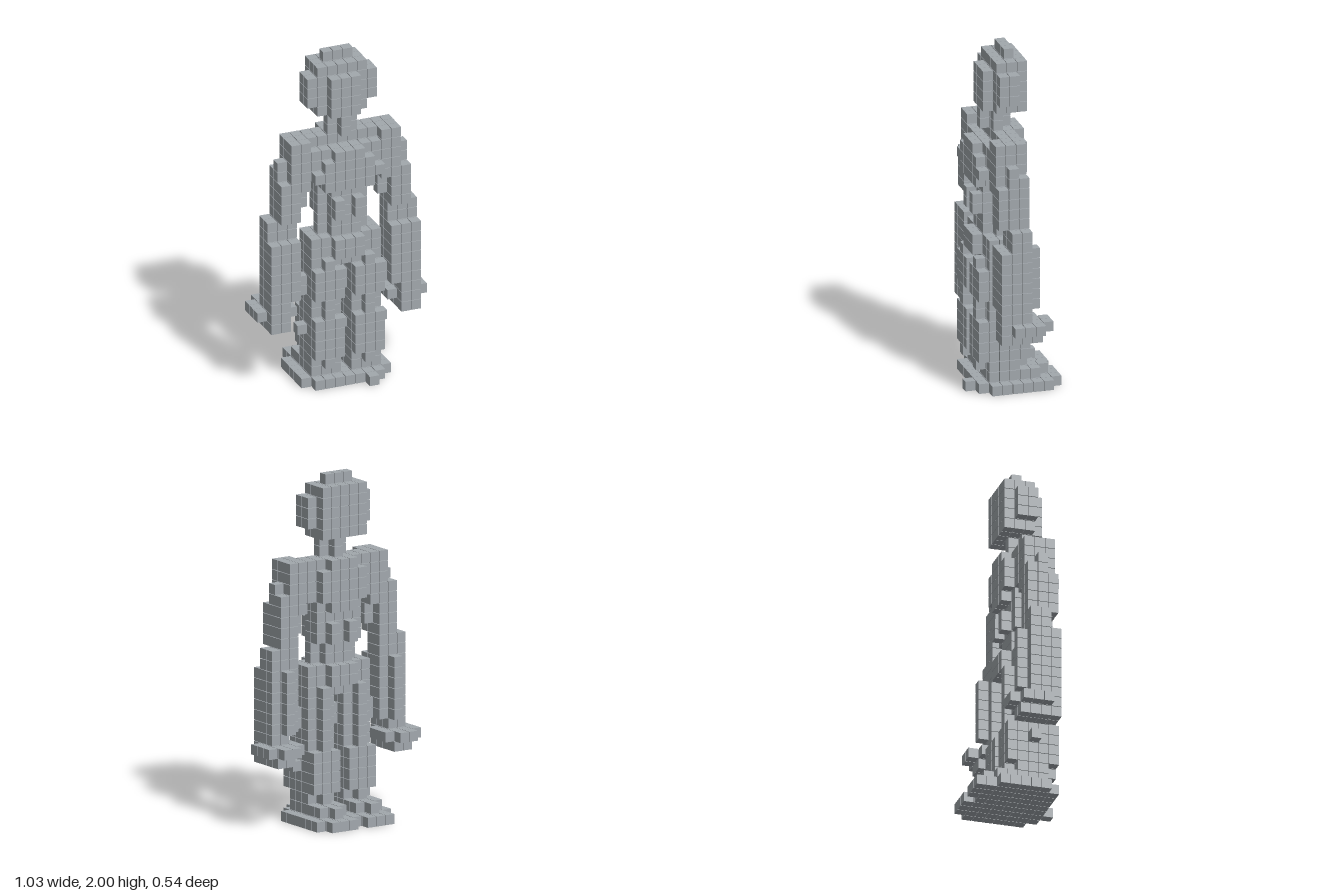
import * as THREE from 'three';
import { mergeGeometries } from 'three/addons/utils/BufferGeometryUtils.js';

const PITCH = 0.0607; // spacing of the cubes
const SIZE = 0.0575;  // edge of one cube, leaving a thin gap

// Each block is [x0, x1, y0, y1, z0, z1] in whole cells, ends included.
// Central parts span the middle; paired parts are given for +x and mirrored.
const CENTRAL = {
  head: [
    [-1, 1, 32, 32, 0, 0],
    [-2, 2, 31, 31, -1, 1],
    [-2, 2, 28, 30, -1, 1],
    [-3, 3, 28, 30, 0, 1],
    [-2, 2, 27, 27, -1, 1],
    [-1, 1, 27, 30, 2, 2],
  ],
  neck: [
    [-1, 1, 25, 26, 1, 1],
    [0, 0, 25, 26, 0, 2],
  ],
  torso: [
    [-3, 3, 24, 24, 0, 1],
    [-1, 1, 24, 24, -1, -1],
    [-3, 3, 21, 23, 0, 2],
    [-2, 2, 21, 23, -1, -1],
    [-2, 2, 20, 20, 0, 2],
    [-1, 1, 20, 20, -1, -1],
    [-1, 1, 15, 19, 0, 2],
    [-2, 2, 17, 19, 0, 1],
    [-2, 2, 15, 16, 1, 1],
  ],
  chest: [
    [-1, 1, 23, 23, 3, 3],
    [-2, 2, 20, 22, 3, 3],
    [-3, 3, 21, 21, 3, 3],
  ],
  pelvis: [
    [-3, 3, 12, 14, 0, 2],
    [-1, 1, 13, 14, -1, -1],
    [-1, 1, 13, 14, 3, 3],
    [0, 0, 9, 10, 1, 1],
    [0, 0, 5, 5, 1, 1],
  ],
  base: [
    [-4, 4, 0, 0, -2, 2],
    [-3, 3, 0, 0, -3, 3],
    [4, 4, 0, 0, -3, -3],
    [2, 2, 0, 0, 4, 4],
  ],
};

const PAIRED = {
  waistBump: [
    [1, 1, 17, 18, 3, 3],
    [1, 1, 17, 18, -1, -1],
  ],
  upperArm: [
    [4, 5, 20, 24, 0, 2],
    [6, 6, 17, 21, 0, 0],
    [6, 6, 17, 22, 1, 1],
    [6, 6, 17, 20, 2, 2],
    [4, 4, 18, 19, 1, 1],
    [5, 5, 17, 19, 0, 2],
  ],
  forearm: [
    [5, 7, 15, 16, 0, 1],
    [6, 7, 9, 14, 0, 2],
    [6, 6, 9, 14, -1, -1],
    [5, 5, 9, 14, 0, 2],
    [4, 4, 9, 10, 1, 1],
  ],
  hand: [
    [6, 7, 8, 8, 0, 2],
    [6, 7, 7, 7, -2, 2],
    [5, 8, 7, 7, -1, 1],
    [6, 7, 6, 6, -1, 2],
  ],
  thigh: [
    [1, 3, 8, 11, 0, 2],
    [2, 2, 8, 12, -1, -1],
    [2, 2, 7, 12, 3, 3],
    [1, 3, 9, 11, 3, 3],
  ],
  lowerLeg: [
    [1, 3, 2, 7, 0, 2],
    [2, 2, 2, 7, -1, -1],
    [1, 3, 3, 6, -1, -1],
    [1, 3, 3, 6, 3, 3],
    [2, 2, 2, 2, 3, 3],
    [4, 4, 5, 5, 1, 1],
  ],
  foot: [
    [1, 3, 1, 1, -2, 2],
    [2, 2, 1, 1, -3, -3],
    [1, 3, 0, 0, -4, -4],
  ],
};

export function createModel() {
  const model = new THREE.Group();
  const grey = new THREE.MeshStandardMaterial({ color: 0xa2a8ad });
  grey.name = 'grey';
  const used = new Set();

  // Fill the blocks of one part with cubes, skipping cells already taken
  function addPart(name, blocks, side = 1) {
    const cubes = [];
    for (const [x0, x1, y0, y1, z0, z1] of blocks)
      for (let x = x0; x <= x1; x++)
        for (let y = y0; y <= y1; y++)
          for (let z = z0; z <= z1; z++) {
            const key = `${x * side},${y},${z}`;
            if (used.has(key)) continue;
            used.add(key);
            cubes.push(new THREE.BoxGeometry(SIZE, SIZE, SIZE)
              .translate(x * side * PITCH, y * PITCH + SIZE / 2, z * PITCH));
          }
    const mesh = new THREE.Mesh(mergeGeometries(cubes), grey);
    mesh.name = name;
    model.add(mesh);
  }

  for (const [name, blocks] of Object.entries(CENTRAL)) addPart(name, blocks);
  for (const [name, blocks] of Object.entries(PAIRED)) {
    addPart(name + 'Left', blocks, 1);
    addPart(name + 'Right', blocks, -1);
  }
  return model;
}
